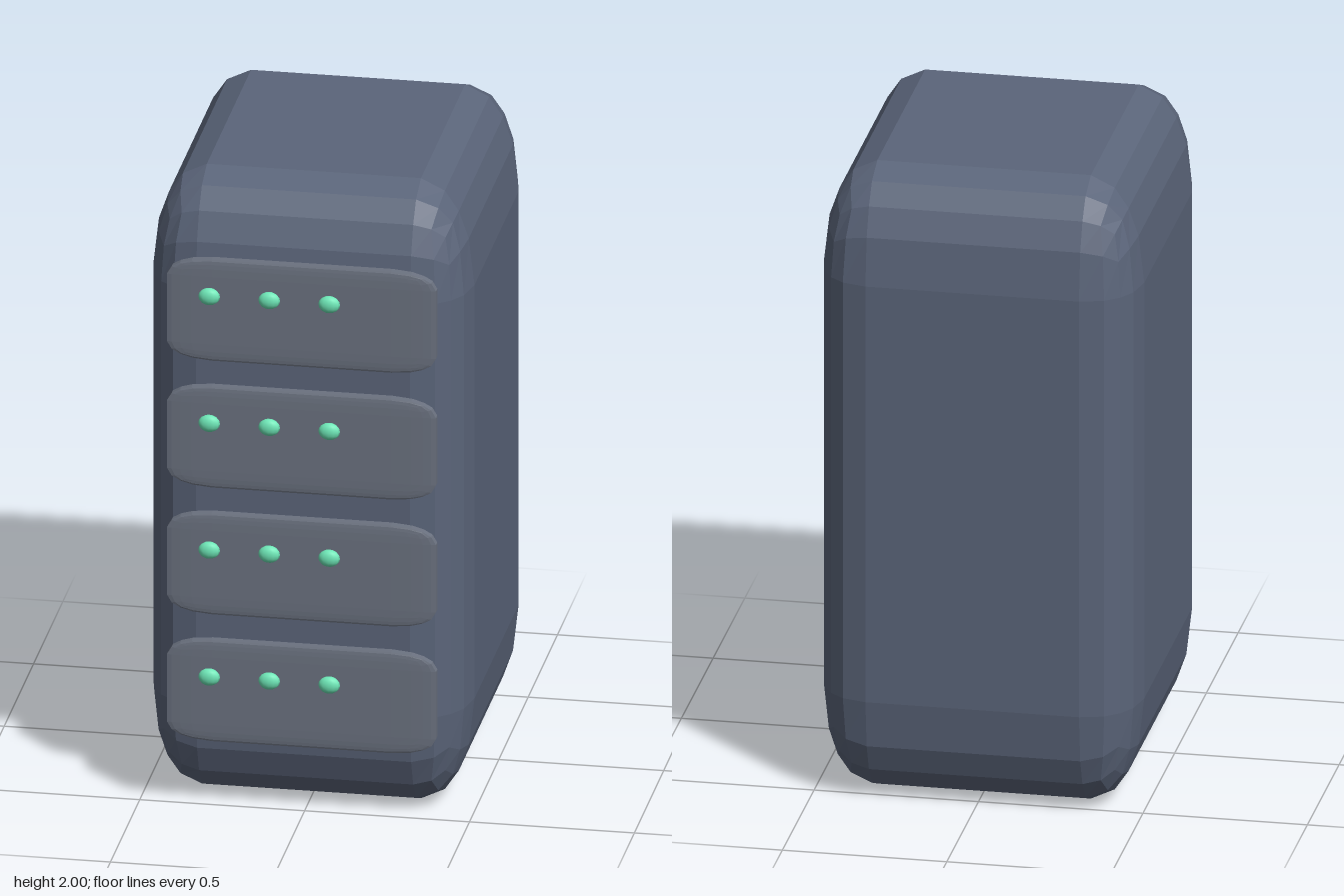
import * as THREE from 'three';
import { RoundedBoxGeometry } from 'three/addons/geometries/RoundedBoxGeometry.js';

// Rounded unit box stretched to size, so the rounding stretches with it
function softBox(name, width, height, depth, material) {
  const geometry = new RoundedBoxGeometry(1, 1, 1, 2, 1 / 6);
  geometry.scale(width, height, depth);
  const mesh = new THREE.Mesh(geometry, material);
  mesh.name = name;
  return mesh;
}

export function createModel() {
  const model = new THREE.Group();
  model.name = 'serverCabinet';

  const bodyMaterial = new THREE.MeshStandardMaterial({ color: 0x5b657a, flatShading: true });
  const panelMaterial = new THREE.MeshStandardMaterial({ color: 0x6b7280, flatShading: true });
  const lightMaterial = new THREE.MeshStandardMaterial({ color: 0x6ee7b7 });

  // Cabinet body
  const body = softBox('cabinetBody', 0.974, 2, 1.13, bodyMaterial);
  body.position.set(0, 1, -0.035);
  model.add(body);

  // Four front units, each a panel with three status lights
  const lightGeometry = new THREE.SphereGeometry(1, 12, 8);
  lightGeometry.scale(0.033, 0.027, 0.018);

  for (let row = 0; row < 4; row++) {
    const unit = new THREE.Group();
    unit.name = `frontUnit${row + 1}`;
    unit.position.y = 0.39 + row * 0.409;

    const panel = softBox('frontPanel', 0.816, 0.326, 0.034, panelMaterial);
    panel.position.z = 0.543;
    unit.add(panel);

    for (let i = 0; i < 3; i++) {
      const light = new THREE.Mesh(lightGeometry, lightMaterial);
      light.name = 'statusLight';
      light.position.set(-0.275 + i * 0.182, 0.055, 0.582);
      unit.add(light);
    }
    model.add(unit);
  }

  return model;
}
